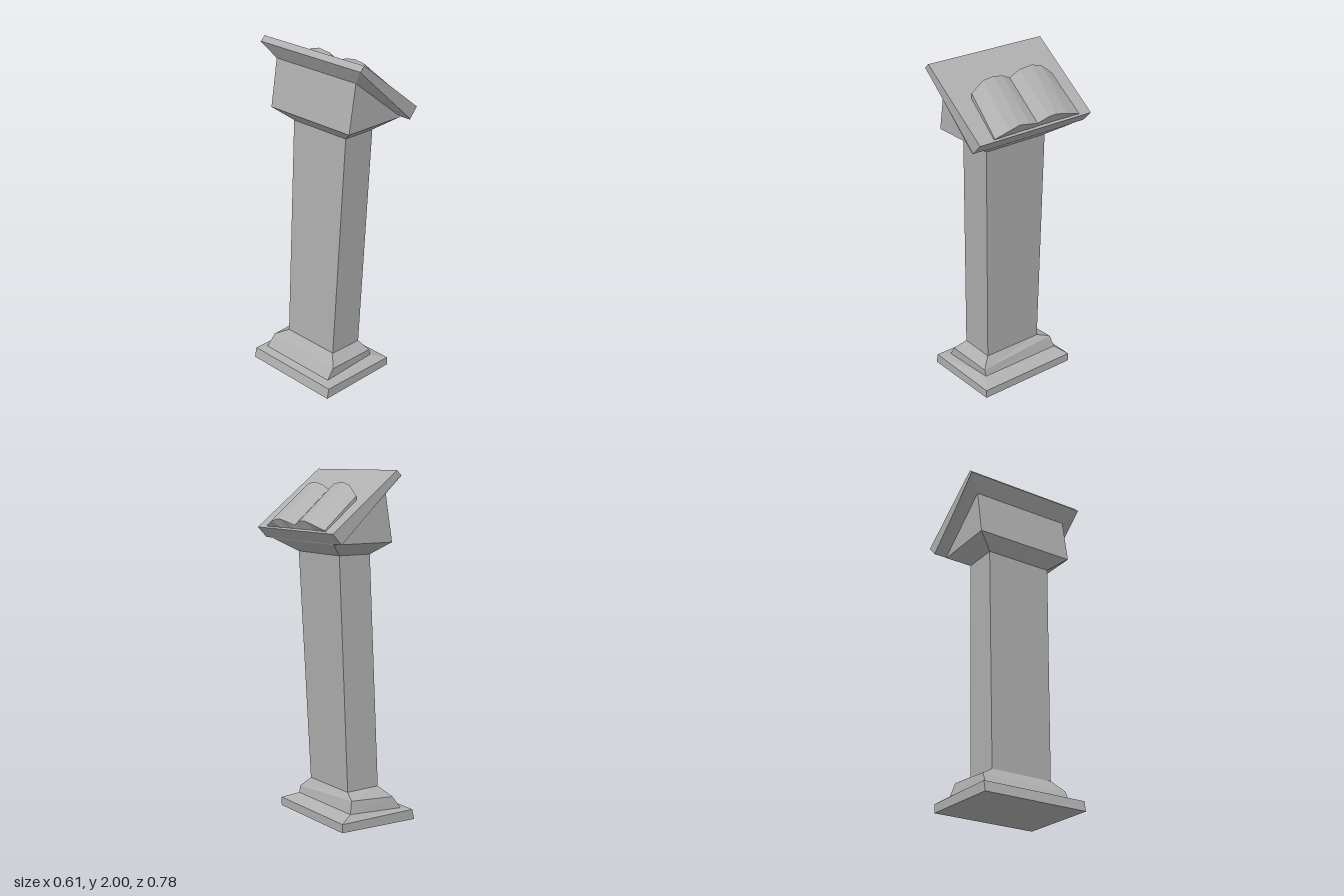
import * as THREE from 'three';

const stone = new THREE.MeshStandardMaterial({ color: 0xb0b0b0, flatShading: true });
stone.name = 'grey stone';

// Four corners from a left edge (x0, y0) and a right edge (x1, y1), spanning back z0 to front z1
const ring = (x0, y0, x1, y1, z0, z1) => [[x0, y0, z0], [x0, y0, z1], [x1, y1, z1], [x1, y1, z0]];

// Skin through a series of four-cornered rings, capped at both ends
function loft(name, rings) {
  const pos = [];
  const quad = (a, b, c, d) => pos.push(...a, ...b, ...c, ...a, ...c, ...d);
  for (let i = 0; i < rings.length - 1; i++) {
    const p = rings[i], q = rings[i + 1];
    for (let k = 0; k < 4; k++) {
      const n = (k + 1) % 4;
      quad(p[k], p[n], q[n], q[k]);
    }
  }
  const [a, b, c, d] = rings[0];
  quad(d, c, b, a);
  quad(...rings[rings.length - 1]);
  const geometry = new THREE.BufferGeometry();
  geometry.setAttribute('position', new THREE.Float32BufferAttribute(pos, 3));
  geometry.computeVertexNormals();
  const mesh = new THREE.Mesh(geometry, stone);
  mesh.name = name;
  return mesh;
}

export function createModel() {
  const group = new THREE.Group();
  group.name = 'lectern';

  // Stepped foot: slab, sloped shoulder and worn upper block
  group.add(loft('base', [
    ring(-0.305, 0, 0.2, 0.01, -0.357, 0.28),
    ring(-0.292, 0.06, 0.2, 0.06, -0.357, 0.28),
    ring(-0.24, 0.068, 0.115, 0.09, -0.312, 0.218),
    [[-0.19, 0.14, -0.3], [-0.2, 0.13, 0.22], [0.105, 0.13, 0.22], [0.095, 0.16, -0.295]],
    ring(-0.148, 0.19, 0.065, 0.187, -0.215, 0.165),
  ]));

  // Slightly leaning shaft
  group.add(loft('shaft', [
    ring(-0.148, 0.18, 0.065, 0.18, -0.215, 0.165),
    ring(-0.09, 1.535, 0.117, 1.535, -0.205, 0.205),
  ]));

  // Flared capital and wedge that carry the board
  group.add(loft('capital', [
    ring(-0.09, 1.535, 0.117, 1.535, -0.205, 0.205),
    ring(-0.165, 1.605, 0.225, 1.605, -0.31, 0.305),
    ring(-0.118, 1.88, 0.228, 1.611, -0.31, 0.305),
    ring(-0.17, 1.972, 0.23, 1.612, -0.385, 0.385),
  ]));

  // Sloping reading board
  group.add(loft('board', [
    [[-0.17, 1.972, -0.38], [-0.17, 1.972, 0.388], [0.23, 1.61, 0.378], [0.23, 1.61, -0.39]],
    [[-0.142, 2, -0.38], [-0.142, 2, 0.388], [0.287, 1.67, 0.376], [0.287, 1.67, -0.391]],
  ]));

  // Open book, cut across its two page humps:
  // [upper z, lower z, upper base x, upper top x, upper top y, lower top x, lower top y]
  const boardY = (x) => 2 - (x + 0.142) * 0.77 - 0.008;
  const sections = [
    [-0.293, -0.308, 0.063, 0.067, 1.862, 0.284, 1.684],
    [-0.22, -0.205, 0.035, 0.06, 1.918, 0.3, 1.714],
    [-0.155, -0.13, 0.021, 0.058, 1.935, 0.298, 1.729],
    [-0.07, -0.083, 0.024, 0.057, 1.926, 0.297, 1.726],
    [-0.006, -0.013, 0.047, 0.052, 1.893, 0.283, 1.7],
    [0.048, 0.055, 0.03, 0.06, 1.918, 0.3, 1.718],
    [0.112, 0.122, 0.027, 0.062, 1.93, 0.299, 1.729],
    [0.182, 0.2, 0.035, 0.064, 1.922, 0.304, 1.714],
    [0.262, 0.277, 0.063, 0.068, 1.87, 0.285, 1.684],
  ];
  group.add(loft('book', sections.map(([zu, zl, bx, ux, uy, lx, ly]) => [
    [bx, boardY(bx), zu],
    [0.272, boardY(0.272), zl],
    [lx, ly, zl],
    [ux, uy, zu],
  ])));
  return group;
}
